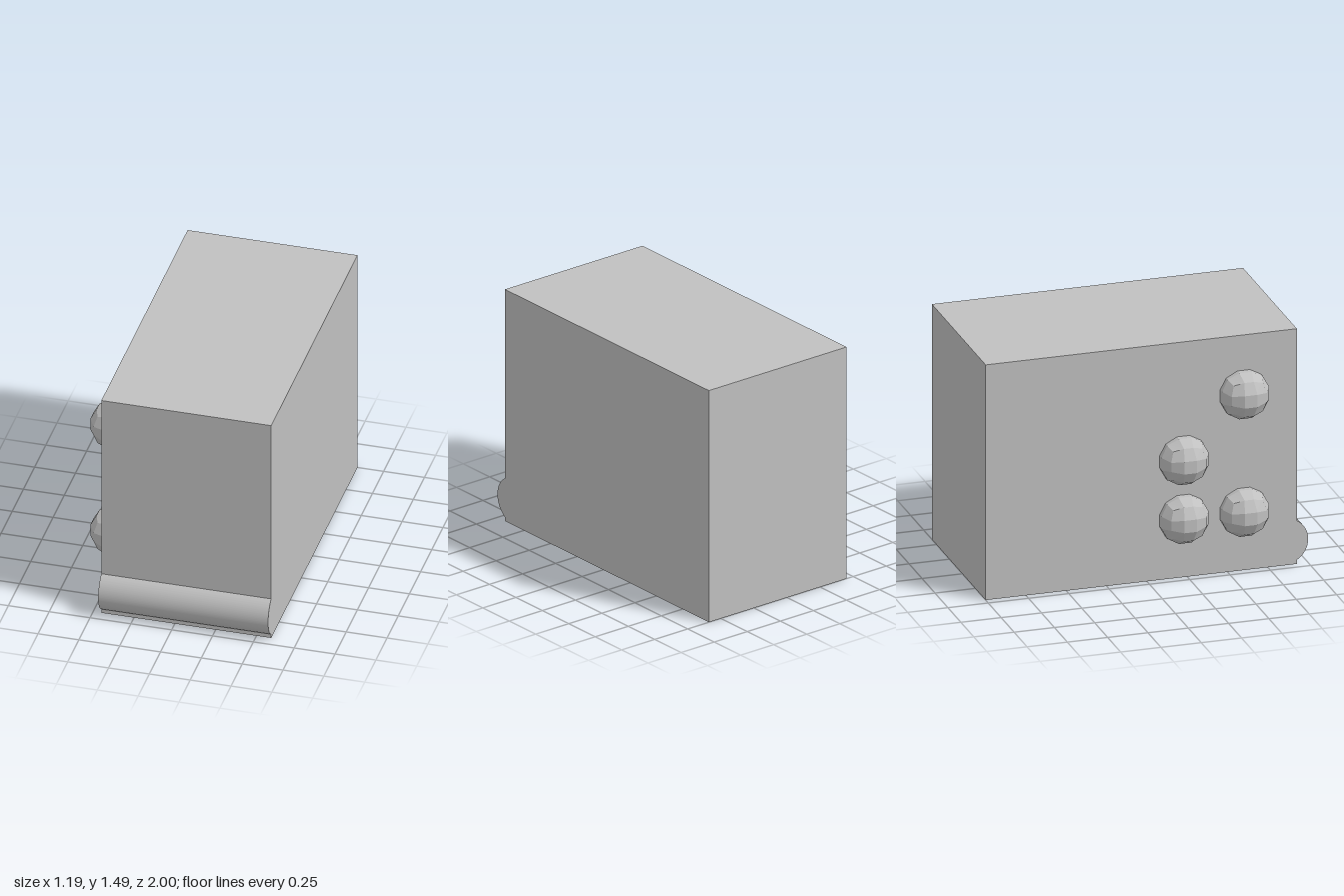
import * as THREE from 'three';
import { toCreasedNormals } from 'three/addons/utils/BufferGeometryUtils.js';

const LEFT = -0.45, RIGHT = 0.59, HEIGHT = 1.49, BACK = -1, FRONT = 0.93;

// Faceted half ball: a 3x3x3 box pushed out to a sphere, cut flat at x = 0
function knobGeometry(radius) {
  const geo = new THREE.BoxGeometry(2, 2, 2, 3, 3, 3);
  const pos = geo.attributes.position;
  const v = new THREE.Vector3();
  const even = (t) => Math.tan(t * Math.PI / 4); // equal angles between rows
  for (let i = 0; i < pos.count; i++) {
    v.fromBufferAttribute(pos, i);
    v.set(even(v.x), even(v.y), even(v.z)).setLength(radius);
    pos.setXYZ(i, Math.min(v.x, 0), v.y, v.z);
  }
  return toCreasedNormals(geo, 0.35);
}

// Rounded bar: the part of a circle that stands out from the front face
function barGeometry(centerY, centerZ, radius) {
  const half = Math.acos((FRONT - centerZ) / radius);
  const shape = new THREE.Shape();
  shape.absarc(centerZ, centerY, radius, -half, half, false);
  shape.closePath();
  const geo = new THREE.ExtrudeGeometry(shape, {
    depth: RIGHT - LEFT, bevelEnabled: false, curveSegments: 32,
  });
  geo.rotateY(-Math.PI / 2).translate(RIGHT, 0, 0);
  return toCreasedNormals(geo, 0.5);
}

export function createModel() {
  const model = new THREE.Group();
  model.name = 'knobbedBlock';
  const grey = new THREE.MeshStandardMaterial({ color: 0xc0c0c0 });
  grey.name = 'light grey';

  const add = (name, geo) => {
    const mesh = new THREE.Mesh(geo, grey);
    mesh.name = name;
    model.add(mesh);
    return mesh;
  };

  // Main block
  add('body', new THREE.BoxGeometry(RIGHT - LEFT, HEIGHT, FRONT - BACK))
    .position.set((LEFT + RIGHT) / 2, HEIGHT / 2, (BACK + FRONT) / 2);

  // Bar along the lower front edge
  add('frontBar', barGeometry(0.15, 0.855, 0.145));

  // Four knobs on the side, as [y, z]
  const knob = knobGeometry(0.156);
  [[1.12, 0.6], [0.375, 0.6], [0.747, 0.225], [0.375, 0.225]].forEach(([y, z], i) => {
    add('sideKnob' + (i + 1), knob).position.set(LEFT, y, z);
  });

  return model;
}
